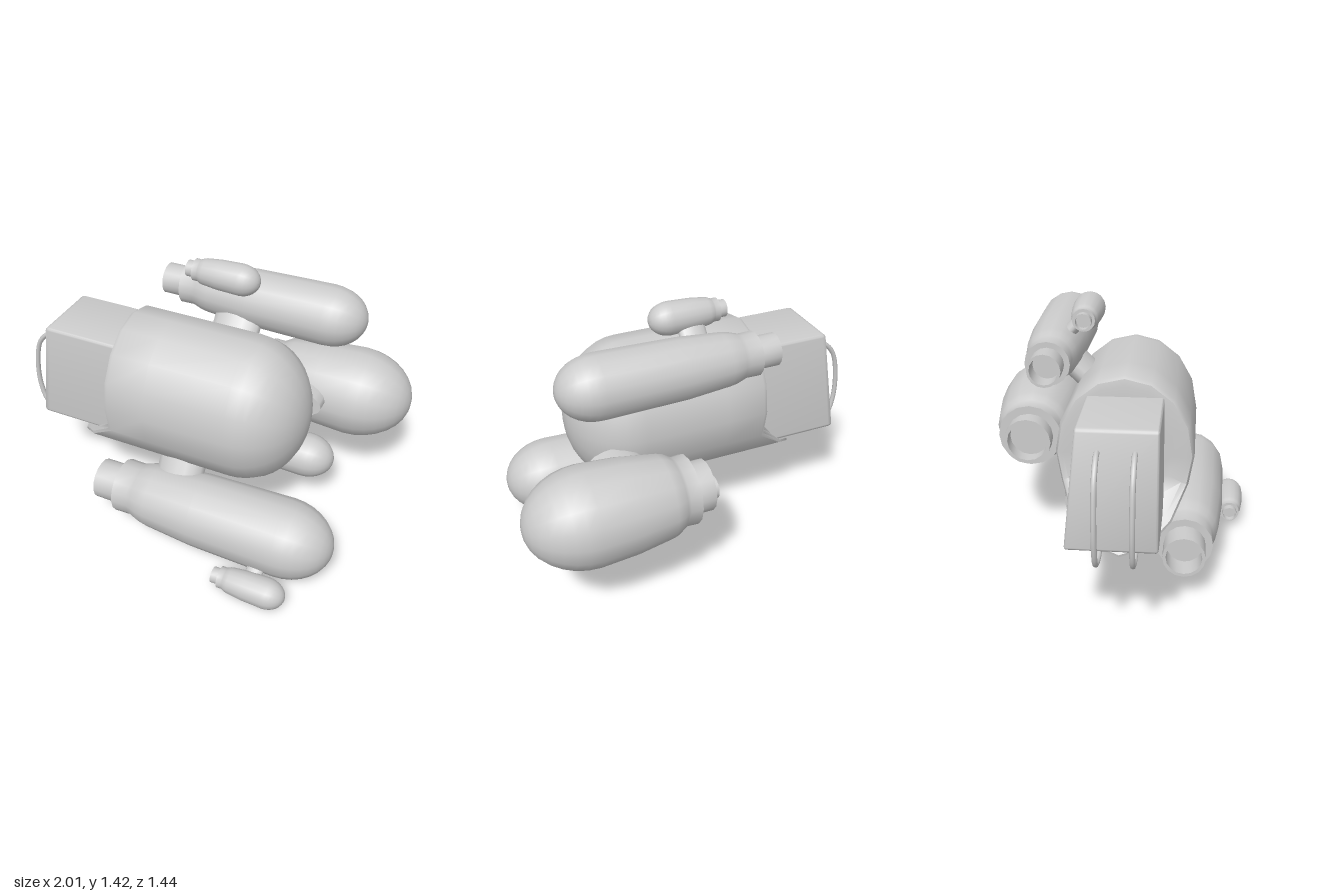
import * as THREE from 'three';
import { toCreasedNormals } from 'three/addons/utils/BufferGeometryUtils.js';
import { RoundedBoxGeometry } from 'three/addons/geometries/RoundedBoxGeometry.js';

const YAW = 0.09;
const SIDES = 16;

// Points of a rounded nose: radius r, from x0 to x1
function nose(r, x0, x1, steps = 8) {
  const pts = [];
  for (let i = 0; i <= steps; i++) {
    const a = (i / steps) * Math.PI / 2;
    pts.push([i === steps ? 0 : r * Math.cos(a), x0 + (x1 - x0) * Math.sin(a)]);
  }
  return pts;
}

// Turned shape lying along +x
function turned(profile) {
  const geo = new THREE.LatheGeometry(profile.map(([r, x]) => new THREE.Vector2(r, x)), SIDES);
  return geo.rotateZ(-Math.PI / 2);
}

export function createModel() {
  const hullGrey = new THREE.MeshStandardMaterial({ color: 0xcccccc });
  hullGrey.name = 'hullGrey';

  const model = new THREE.Group();
  model.name = 'podCraft';
  const craft = new THREE.Group();
  craft.name = 'craft';
  craft.rotation.y = -YAW;
  model.add(craft);

  function add(name, geo) {
    const mesh = new THREE.Mesh(geo, hullGrey);
    mesh.name = name;
    craft.add(mesh);
    return mesh;
  }

  // Main hull: narrower than tall, round nose, rear cut slanting out into a lower lip
  const hull = turned([
    [0, -0.425], [0.09, -0.425], [0.18, -0.425], [0.27, -0.425], [0.35, -0.425],
    [0.382, -0.42], [0.395, -0.4], [0.395, -0.2], ...nose(0.395, 0.24, 0.562, 10),
  ]);
  const hp = hull.attributes.position;
  for (let i = 0; i < hp.count; i++) {
    const y = hp.getY(i) + 0.765;
    if (hp.getX(i) < -0.3) hp.setX(i, hp.getX(i) - Math.max(0, 0.605 - y) * 1.33);
    hp.setXYZ(i, hp.getX(i), y, hp.getZ(i) * 0.85 + 0.042);
  }
  add('mainHull', toCreasedNormals(hull, 0.75));

  // Cabin block: leaning rear face, slightly wider at the bottom
  const lerp = THREE.MathUtils.lerp;
  const cabin = new RoundedBoxGeometry(1, 1, 1, 2, 0.03);
  const cp = cabin.attributes.position;
  for (let i = 0; i < cp.count; i++) {
    const u = cp.getX(i) + 0.5, v = cp.getY(i) + 0.5, w = cp.getZ(i) + 0.5;
    cp.setXYZ(i,
      lerp(lerp(-0.9, -0.83, v), 0, u),
      lerp(0.5, 1.06, v),
      lerp(lerp(-0.19, -0.14, v), lerp(0.235, 0.23, v), w));
  }
  add('cabinBlock', toCreasedNormals(cabin, 0.7));

  // Two bent rear rails
  const bend = [[-0.82, 0.96], [-0.88, 0.95], [-0.95, 0.88], [-0.985, 0.74], [-0.985, 0.58],
    [-0.95, 0.475], [-0.88, 0.44], [-0.78, 0.443], [-0.6, 0.465]];
  for (const z of [-0.04, 0.125]) {
    const path = new THREE.CatmullRomCurve3(bend.map(([x, y]) => new THREE.Vector3(x, y, z)));
    add('rearRail', new THREE.TubeGeometry(path, 40, 0.013, 8));
  }

  // Pods: hollow nozzle, stepped collar, swelling body, round nose
  function pod(name, x0, x1, y, z, r) {
    const L = x1 - x0;
    const profile = [[0, 0.09], [0.44, 0.09], [0.44, 0], [0.52, 0], [0.52, 0.1], [0.7, 0.1],
      [0.69, 0.165], [0.73, 0.185], [0.8, 0.215], [0.84, 0.25], [0.95, 0.45]]
      .map(([a, b]) => [a * r, b * L]);
    const geo = turned([...profile, ...nose(r, L - 1.25 * r, L)]);
    add(name, toCreasedNormals(geo, 0.75)).position.set(x0 + YAW * z, y, z);
  }
  pod('lowerFrontPod', -0.515, 0.803, 0.246, 0.342, 0.206);
  pod('upperRearPod', -0.368, 0.734, 1.165, -0.342, 0.158);
  pod('largeRearPod', 0.088, 1.0, 0.61, -0.528, 0.247);
  pod('lowerRearPod', -0.14, 0.66, 0.323, -0.225, 0.122);
  pod('smallLowerPod', 0.24, 0.628, 0.087, 0.59, 0.08);
  pod('smallUpperPod', -0.185, 0.204, 1.35, -0.18, 0.081);

  // Flattened struts from point a to point b, each given as [y, z]
  function strut(name, x, a, b, rx, rz) {
    const dy = b[0] - a[0], dz = b[1] - a[1];
    const mesh = add(name, new THREE.CylinderGeometry(1, 1, 1, SIDES));
    mesh.position.set(x, (a[0] + b[0]) / 2, (a[1] + b[1]) / 2);
    mesh.rotation.x = Math.atan2(dz, dy);
    mesh.scale.set(rx, Math.hypot(dy, dz), rz);
  }
  strut('lowerFrontStrut', -0.05, [0.6, 0.12], [0.28, 0.32], 0.13, 0.085);
  strut('upperRearStrut', 0.05, [0.93, -0.1], [1.14, -0.32], 0.13, 0.07);
  strut('largeRearStrut', 0.4, [0.655, -0.23], [0.65, -0.42], 0.14, 0.075);
  strut('lowerRearStrut', 0.12, [0.6, -0.08], [0.34, -0.22], 0.1, 0.055);
  strut('smallLowerStrut', 0.49, [0.18, 0.43], [0.1, 0.57], 0.045, 0.025);
  strut('smallUpperStrut', -0.01, [1.22, -0.3], [1.34, -0.19], 0.07, 0.035);

  return model;
}
